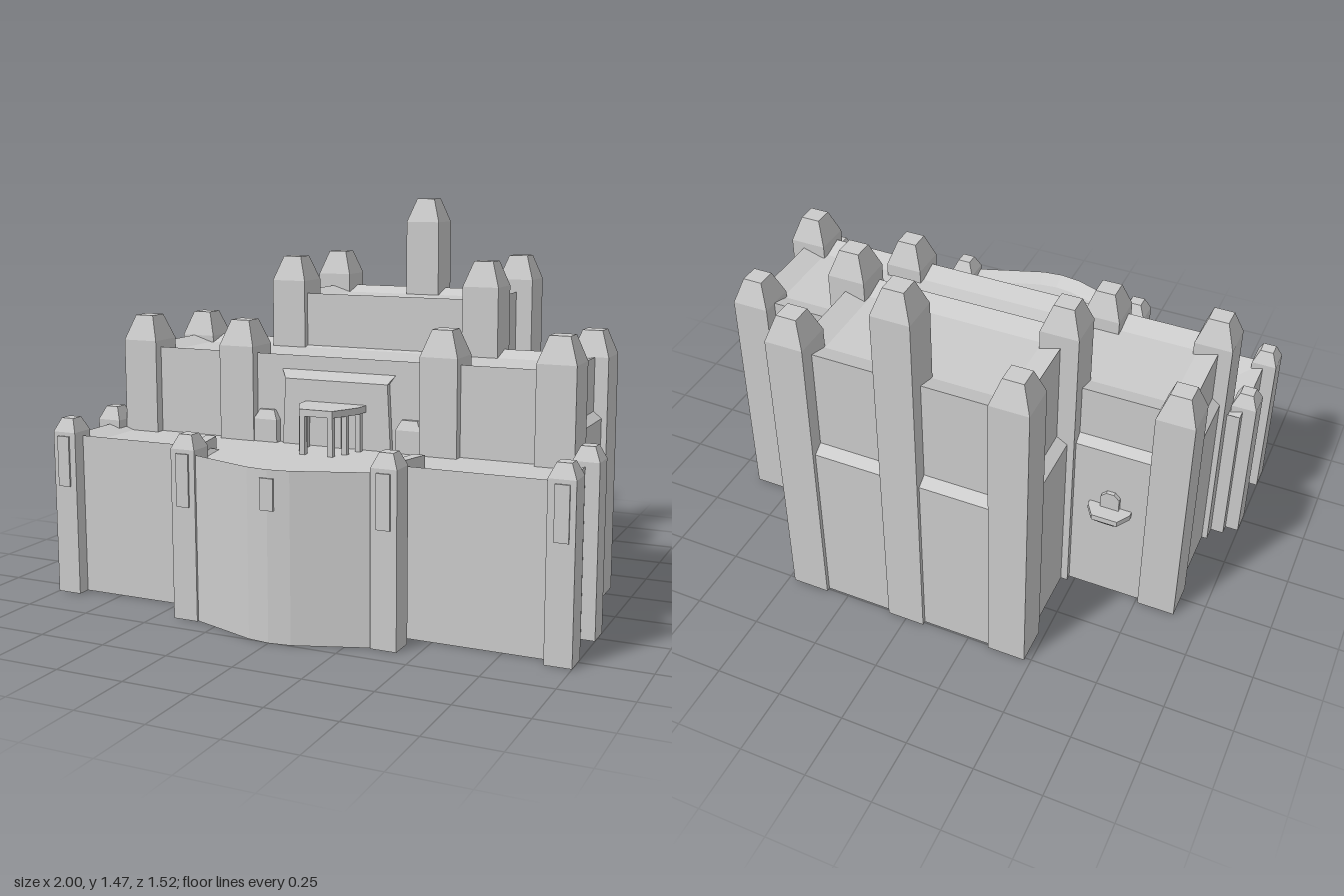
import * as THREE from 'three';

const material = new THREE.MeshStandardMaterial({ color: 0xcccccc, flatShading: true, side: THREE.DoubleSide });

// Skin through rings of [x, y, z] points (counter-clockwise from above), capped on top, optionally below
function loft(rings, closedBottom = false) {
  const pos = [];
  const n = rings[0].length;
  for (let r = 0; r < rings.length - 1; r++) {
    for (let i = 0; i < n; i++) {
      const j = (i + 1) % n;
      const [a, b, c, d] = [rings[r][i], rings[r][j], rings[r + 1][j], rings[r + 1][i]];
      pos.push(...a, ...b, ...c, ...a, ...c, ...d);
    }
  }
  const cap = (ring, up) => {
    const flat = ring.map(p => new THREE.Vector2(p[0], -p[2]));
    for (const [a, b, c] of THREE.ShapeUtils.triangulateShape(flat, [])) {
      const area = (flat[b].x - flat[a].x) * (flat[c].y - flat[a].y) - (flat[c].x - flat[a].x) * (flat[b].y - flat[a].y);
      const t = (area > 0) === up ? [a, b, c] : [a, c, b];
      t.forEach(k => pos.push(...ring[k]));
    }
  };
  cap(rings[rings.length - 1], true);
  if (closedBottom) cap(rings[0], false);
  const geo = new THREE.BufferGeometry();
  geo.setAttribute('position', new THREE.Float32BufferAttribute(pos, 3));
  geo.computeVertexNormals();
  return geo;
}

// Rectangle ring: half width w, back z0, front z1, height y
const rect = (w, z0, z1, y) => [[w, y, z1], [w, y, z0], [-w, y, z0], [-w, y, z1]];

// Symmetric ring from right-hand points listed back to front; a last point on x = 0 is not doubled
function mirrored(half, y) {
  const right = [...half].reverse().map(([x, z]) => [x, y, z]);
  const left = half.filter(p => p[0] > 0).map(([x, z]) => [-x, y, z]);
  return [...right, ...left];
}

export function createModel() {
  const model = new THREE.Group();
  const add = (name, geo, x = 0, y = 0, z = 0, parent = model) => {
    const mesh = new THREE.Mesh(geo, material);
    mesh.name = name;
    mesh.position.set(x, y, z);
    parent.add(mesh);
    return mesh;
  };
  const box = (name, w, h, d, x, y, z, parent) =>
    add(name, new THREE.BoxGeometry(w, h, d), x, y + h / 2, z, parent);

  // Low front terrace with a bowed bastion and a roof dished inside the rim
  const outer = [[0.95, 0.15], [0.95, 0.52], [0.38, 0.52], [0.38, 0.62], [0.33, 0.657], [0.08, 0.745], [0, 0.755]];
  const inner = [[0.87, 0.15], [0.87, 0.43], [0.37, 0.43], [0.34, 0.59], [0.3, 0.61], [0.07, 0.685], [0, 0.693]];
  add('frontTerrace', loft([mirrored(outer, 0), mirrored(outer, 0.6), mirrored(inner, 0.575)]));

  // Middle and upper halls: wide lower wall, sloped ledge, upper wall, dished roof
  add('middleHall', loft([
    rect(0.88, -0.315, 0.2, 0), rect(0.88, -0.315, 0.2, 0.68), rect(0.85, -0.28, 0.2, 0.705),
    rect(0.85, -0.28, 0.2, 0.905), rect(0.77, -0.2, 0.12, 0.88)]));
  add('upperHall', loft([
    rect(0.45, -0.745, -0.22, 0), rect(0.45, -0.745, -0.22, 0.68), rect(0.41, -0.705, -0.22, 0.705),
    rect(0.41, -0.705, -0.22, 1.095), rect(0.33, -0.625, -0.3, 1.07)]));

  // Square towers with tapered caps
  const tower = (name, size, x, z, top, capHeight) => {
    const h = size / 2, t = h * 0.53;
    add(name, loft([rect(h, -h, h, 0), rect(h, -h, h, top - capHeight), rect(t, -t, t, top)]), x, 0, z);
  };
  for (const s of [-1, 1]) {
    tower('middleFrontOuterTower', 0.142, s * 0.83, 0.165, 1.025, 0.095);
    tower('middleFrontInnerTower', 0.142, s * 0.405, 0.165, 1.025, 0.095);
    tower('middleBackOuterTower', 0.142, s * 0.83, -0.265, 1.0, 0.095);
    tower('upperFrontTower', 0.142, s * 0.405, -0.265, 1.24, 0.095);
    tower('upperBackTower', 0.142, s * 0.405, -0.69, 1.24, 0.095);
    tower('terraceBackTower', 0.095, s * 0.9525, 0.235, 0.667, 0.05);
    tower('terraceCornerTower', 0.095, s * 0.9525, 0.522, 0.667, 0.05);
    tower('bastionTower', 0.095, s * 0.382, 0.615, 0.667, 0.05);

    // Thin hanging panels on the front turrets
    box('turretPanel', 0.05, 0.19, 0.008, s * 0.955, 0.412, 0.572);
    box('turretPanel', 0.05, 0.19, 0.008, s * 0.382, 0.412, 0.665);

    // Slanted parapet wing running back from each bastion turret
    const wing = y => {
      const p = [[0.39, y, 0.58], [0.43, y, 0.42], [0.388, y, 0.42], [0.355, y, 0.58]].map(([x, h, z]) => [s * x, h, z]);
      return s > 0 ? p : p.reverse();
    };
    add('parapetWing', loft([wing(0.57), wing(0.622)]));

    // Bay beside the entrance
    const bay = (w, z, y) => rect(w, 0.19, z, y);
    add('entranceBay', loft([bay(0.048, 0.23, 0.57), bay(0.048, 0.23, 0.66), bay(0.03, 0.215, 0.695)]), s * 0.288);

    // Oriel balcony on the back wall
    const balcony = new THREE.Group();
    balcony.name = 'backBalcony';
    balcony.position.x = s * 0.62;
    model.add(balcony);
    const ring = (w, t, z, y) => [[w, y, -0.31], [w, y, -0.335], [t, y, z], [-t, y, z], [-w, y, -0.335], [-w, y, -0.31]];
    add('balconyFloor', loft([
      ring(0.035, 0.02, -0.342, 0.36), ring(0.08, 0.048, -0.385, 0.408), ring(0.08, 0.048, -0.385, 0.43)], true), 0, 0, 0, balcony);
    add('balconyDoor', loft([
      rect(0.035, -0.33, -0.31, 0.43), rect(0.035, -0.33, -0.31, 0.48), rect(0.015, -0.33, -0.31, 0.5)]), 0, 0, 0, balcony);
  }
  tower('tallBackTower', 0.142, 0, -0.69, 1.465, 0.095);
  box('bastionPanel', 0.05, 0.11, 0.008, 0, 0.46, 0.756);

  // Raised entrance panel with bevelled edges, and its door
  add('entrancePanel', loft([
    rect(0.218, 0.19, 0.222, 0.57), rect(0.205, 0.19, 0.222, 0.82), rect(0.228, 0.19, 0.2, 0.852)]));
  box('entranceDoor', 0.05, 0.15, 0.012, 0, 0.57, 0.224);

  // Portico canopy on slim square columns
  const canopy = [[0.122, 0.2], [0.118, 0.28], [0.065, 0.388]];
  add('porticoRoof', loft([mirrored(canopy, 0.715), mirrored(canopy, 0.74)], true));
  for (const s of [-1, 1]) {
    for (const [x, z] of [[0.055, 0.375], [0.085, 0.32], [0.106, 0.25]]) {
      box('porticoColumn', 0.02, 0.145, 0.022, s * x, 0.57, z);
    }
  }
  return model;
}
